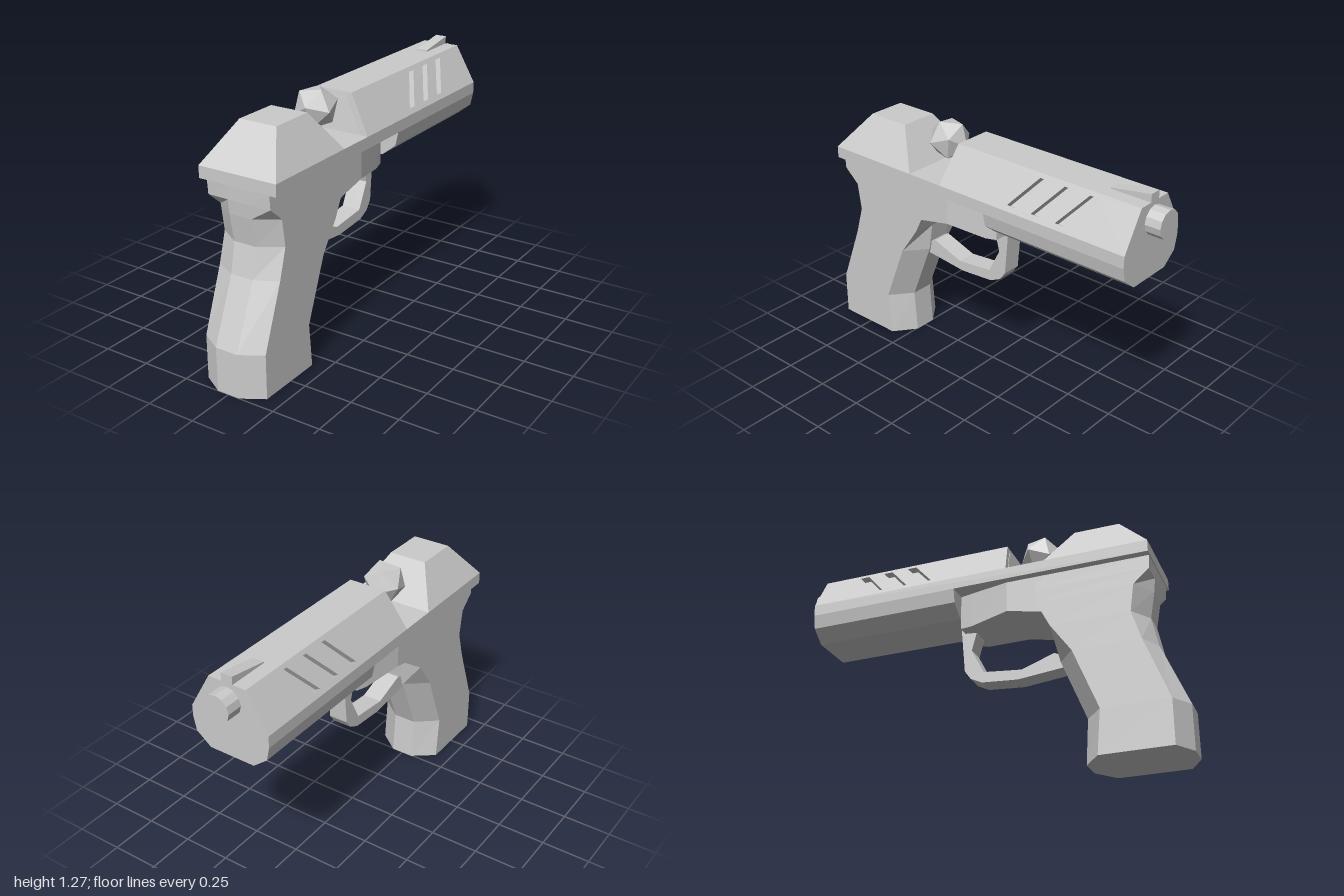
import * as THREE from 'three';

const material = new THREE.MeshStandardMaterial({ color: 0xcccccc, flatShading: true });

// Flat normals, with the winding turned outward by signed volume
function finish(geometry) {
  const g = geometry.index ? geometry.toNonIndexed() : geometry;
  const p = g.attributes.position;
  const v = (i) => new THREE.Vector3().fromBufferAttribute(p, i);
  let volume = 0;
  for (let i = 0; i < p.count; i += 3) volume += v(i).dot(v(i + 1).cross(v(i + 2)));
  if (volume < 0) {
    for (let i = 0; i < p.count; i += 3) {
      const b = v(i + 1), c = v(i + 2);
      p.setXYZ(i + 1, c.x, c.y, c.z);
      p.setXYZ(i + 2, b.x, b.y, b.z);
    }
  }
  g.computeVertexNormals();
  return g;
}

// Solid through a row of convex rings of [x, y, z] points
function loft(rings) {
  const n = rings[0].length, last = (rings.length - 1) * n, index = [];
  for (let r = 0; r < rings.length - 1; r++) {
    for (let i = 0; i < n; i++) {
      const a = r * n + i, b = r * n + (i + 1) % n;
      index.push(a, b, b + n, a, b + n, a + n);
    }
  }
  for (let i = 1; i < n - 1; i++) index.push(0, i + 1, i, last, last + i, last + i + 1);
  const g = new THREE.BufferGeometry();
  g.setAttribute('position', new THREE.Float32BufferAttribute(rings.flat(2), 3));
  g.setIndex(index);
  return finish(g);
}

const shapeOf = (points) => new THREE.Shape(points.map(([a, b]) => new THREE.Vector2(a, b)));
const extrude = (shape, depth) => new THREE.ExtrudeGeometry(shape, { depth, bevelEnabled: false });

// Apply a rule (x, y, z) => [x, y, z] to every vertex
function remap(g, rule) {
  const p = g.attributes.position;
  for (let i = 0; i < p.count; i++) p.setXYZ(i, ...rule(p.getX(i), p.getY(i), p.getZ(i)));
  return finish(g);
}

const rectY = (y, x, z0, z1) => [[-x, y, z0], [x, y, z0], [x, y, z1], [-x, y, z1]];
const rectZ = (z, x, y0, y1) => [[-x, y0, z], [x, y0, z], [x, y1, z], [-x, y1, z]];

export function createModel() {
  const model = new THREE.Group();
  const add = (name, geometry) => {
    const mesh = new THREE.Mesh(geometry, material);
    mesh.name = name;
    model.add(mesh);
    return mesh;
  };

  // Straight belt along the whole slide and the sloped rear block
  add('slideBelt', loft([rectY(0.97, 0.21, -0.92, 0.88), rectY(1.03, 0.21, -0.92, 0.88)]));
  add('rearBlock', loft([rectY(1.03, 0.21, 0.36, 0.88), rectY(1.22, 0.1, 0.49, 0.72)]));

  // Slide core, stepped in by the slot depth where the side panels sit
  const depth = 0.03, slope = 0.11 / 0.19;
  const len = Math.hypot(0.11, 0.19), nx = 0.19 / len, ny = 0.11 / len;
  const half = [[0.21, 1.03], [0.21 - nx * depth, 1.03 - ny * depth],
    [0.1 - nx * depth, 1.22 - ny * depth], [0.1, 1.22]];
  const outline = [...half, ...half.map(([x, y]) => [-x, y]).reverse()];
  add('slideCore', remap(extrude(shapeOf(outline), 1), (x, y, z) =>
    [x, y, z < 0.5 ? -0.92 : 0.16 - (y - 1.03) * 0.03 / 0.19]));

  // Sloped side panels with three slanted slots each
  for (const side of [1, -1]) {
    const panel = shapeOf([[0.16, 1.03], [0.13, 1.22], [-0.92, 1.22], [-0.92, 1.03]]);
    for (let i = 0; i < 3; i++) {
      const z = -0.139 * i;
      panel.holes.push(shapeOf([[z - 0.255, 1.055], [z - 0.3, 1.055], [z - 0.43, 1.2], [z - 0.38, 1.2]]));
    }
    add(side > 0 ? 'leftSlidePanel' : 'rightSlidePanel', remap(extrude(panel, depth), (z, y, w) =>
      [side * (0.21 - (y - 1.03) * slope - nx * w), y - ny * w, z]));
  }

  // Bevelled housing under the barrel
  const under = (z) => [[-0.21, 0.97, z], [-0.195, 0.9, z], [-0.12, 0.84, z],
    [0.12, 0.84, z], [0.195, 0.9, z], [0.21, 0.97, z]];
  add('barrelHousing', loft([under(-0.92), under(-0.12)]));

  // Muzzle and sight
  const muzzle = new THREE.CylinderGeometry(0.07, 0.07, 0.12, 12);
  muzzle.rotateX(Math.PI / 2);
  add('muzzle', finish(muzzle)).position.set(0, 1.13, -0.94);
  add('frontSight', loft([rectZ(-0.92, 0.03, 1.2, 1.26), rectZ(-0.71, 0.03, 1.2, 1.226)]));

  // Faceted orb floating over the gap
  const orb = add('orb', finish(new THREE.IcosahedronGeometry(0.108, 0)));
  orb.position.set(0, 1.175, 0.28);
  orb.rotation.set(0.35, 0.2, 0.1);

  // Grip: [y, back, back bevel, front bevel, front]
  const sections = [
    [0, 1, 0.935, 0.58, 0.495], [0.225, 1, 0.935, 0.6, 0.51], [0.54, 0.87, 0.815, 0.475, 0.385],
    [0.69, 0.84, 0.77, 0.37, 0.36], [0.83, 0.865, 0.79, 0.3, 0.3],
    [0.9, 0.872, 0.87, 0.3, 0.3], [0.97, 0.875, 0.875, 0.3, 0.3],
  ];
  add('grip', loft(sections.map(([y, b, bb, fb, f]) => [
    [-0.06, y, b], [0.06, y, b], [0.17, y, bb], [0.17, y, fb],
    [0.06, y, f], [-0.06, y, f], [-0.17, y, fb], [-0.17, y, bb]])));

  // Frame in front of the grip, narrowing forward
  add('frame', loft([rectZ(0.34, 0.17, 0.77, 0.97), rectZ(0.15, 0.17, 0.81, 0.97),
    rectZ(-0.06, 0.125, 0.785, 0.97), rectZ(-0.12, 0.11, 0.79, 0.97)]));

  // Trigger guard
  const guard = shapeOf([[-0.145, 0.86], [-0.122, 0.58], [-0.09, 0.535], [-0.03, 0.505],
    [0.16, 0.49], [0.4, 0.515], [0.44, 0.56], [0.35, 0.6], [0.18, 0.54],
    [-0.02, 0.56], [-0.085, 0.69], [-0.06, 0.78], [-0.06, 0.86]]);
  add('triggerGuard', remap(extrude(guard, 0.1), (z, y, w) => [w - 0.05, y, z]));

  return model;
}
